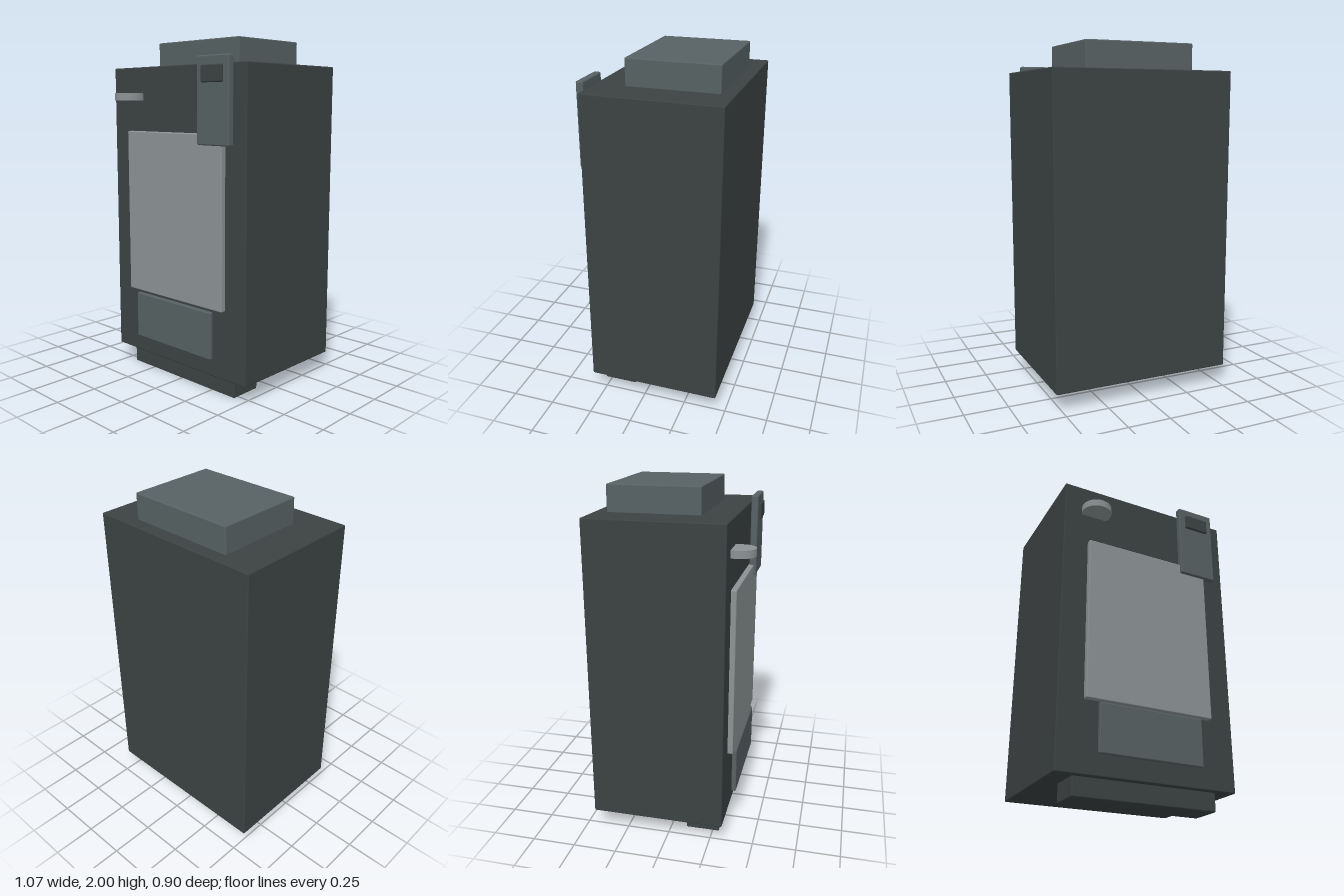
import * as THREE from 'three';
import { RoundedBoxGeometry } from 'three/addons/geometries/RoundedBoxGeometry.js';

export function createModel() {
  const model = new THREE.Group();
  model.name = 'cabinet';

  const material = (name, color) => {
    const m = new THREE.MeshStandardMaterial({ color });
    m.name = name;
    return m;
  };
  const charcoal = material('charcoal', 0x3c4242);
  const slate = material('slate', 0x576163);
  const grey = material('grey', 0x8c9394);

  // Box with softened edges, given by its extents on each axis
  const block = (name, mat, [x0, x1], [y0, y1], [z0, z1], radius = 0.007) => {
    const mesh = new THREE.Mesh(
      new RoundedBoxGeometry(x1 - x0, y1 - y0, z1 - z0, 2, radius), mat);
    mesh.name = name;
    mesh.position.set((x0 + x1) / 2, (y0 + y1) / 2, (z0 + z1) / 2);
    model.add(mesh);
  };

  // Main housing, front plinth and top unit
  block('body', charcoal, [-0.536, 0.536], [0.105, 1.85], [-0.448, 0.323]);
  block('plinth', charcoal, [-0.425, 0.425], [0, 0.115], [0.09, 0.287]);
  block('topUnit', slate, [-0.324, 0.324], [1.845, 2], [-0.375, 0.148]);

  // Front panels
  block('frontPanel', grey, [-0.387, 0.387], [0.504, 1.476], [0.315, 0.354]);
  block('lowerFlap', slate, [-0.311, 0.311], [0.215, 0.49], [0.337, 0.365]);

  // Control box with its dark window
  block('controlBox', slate, [0.217, 0.453], [1.415, 1.89], [0.328, 0.37], 0.009);
  block('controlWindow', charcoal, [0.26, 0.412], [1.748, 1.84], [0.35, 0.383]);

  // Round shelf let into the front
  const shelf = new THREE.Mesh(new THREE.CylinderGeometry(0.087, 0.087, 0.042, 32), grey);
  shelf.name = 'roundShelf';
  shelf.position.set(-0.352, 1.678, 0.361);
  model.add(shelf);

  return model;
}
